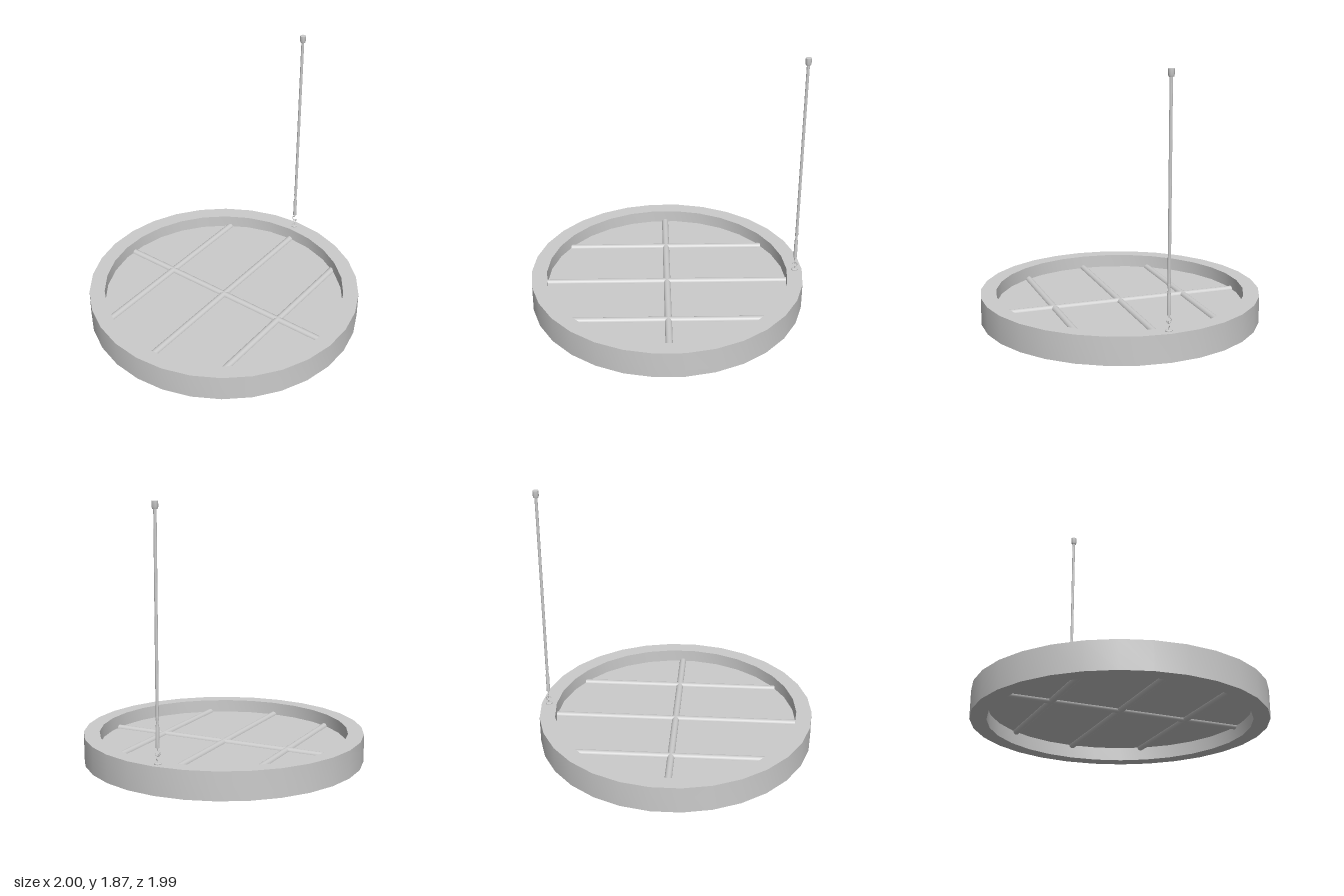
import * as THREE from 'three';
import { toCreasedNormals } from 'three/addons/utils/BufferGeometryUtils.js';

const grey = new THREE.MeshStandardMaterial({ color: 0xcccccc, side: THREE.DoubleSide });
const RING = { sides: 30, outer: 1, inner: 0.888, height: 0.195 };
const MID = RING.height / 2;

function add(parent, name, geometry, x = 0, y = 0, z = 0) {
  const mesh = new THREE.Mesh(geometry, grey);
  mesh.name = name;
  mesh.position.set(x, y, z);
  parent.add(mesh);
  return mesh;
}

// Revolved profile with crisp edges
function lathe(points, sides) {
  const profile = points.map(([r, y]) => new THREE.Vector2(r, y));
  const geometry = new THREE.LatheGeometry(profile, sides);
  geometry.rotateY(Math.PI / 2); // puts a corner on the x axis
  return toCreasedNormals(geometry, 0.6);
}

// Open hook: three quarters of a circle, then a bend into a straight shank
function hook(radius, shank) {
  const points = [];
  for (let i = 0; i <= 10; i++) {
    const a = Math.PI * (0.95 - 1.3 * i / 10);
    points.push(new THREE.Vector3(radius * Math.cos(a), radius * Math.sin(a), 0));
  }
  points.push(new THREE.Vector3(0.002, -radius * 0.95, 0), new THREE.Vector3(0, -shank, 0));
  return new THREE.TubeGeometry(new THREE.CatmullRomCurve3(points), 32, 0.003, 6);
}

export function createModel() {
  const model = new THREE.Group();
  model.name = 'roundWindow';

  // Frame ring
  const { sides, outer, inner, height } = RING;
  add(model, 'frameRing', lathe(
    [[inner, 0], [outer, 0], [outer, height], [inner, height], [inner, 0]], sides));

  // Pane set halfway down the frame
  const pane = new THREE.CylinderGeometry(inner, inner, 0.008, sides);
  pane.rotateY(Math.PI / 2);
  add(model, 'pane', pane, 0, MID, 0);

  // Glazing bars: one upright and three crossing it
  const bars = new THREE.Group();
  bars.name = 'glazingBars';
  model.add(bars);
  const barRadius = 0.026;
  const bar = (length) => new THREE.CylinderGeometry(barRadius, barRadius, length, 16);
  add(bars, 'longBar', bar(2 * inner - 0.01).rotateX(Math.PI / 2), 0, MID, 0);
  for (const z of [-0.49, 0, 0.49]) {
    const length = 2 * Math.sqrt(inner * inner - z * z);
    add(bars, 'crossBar', bar(length).rotateZ(Math.PI / 2), 0, MID, z);
  }

  // Pull rod hanging on a hook above the rim
  const pull = new THREE.Group();
  pull.name = 'pullRod';
  pull.position.x = 0.945;
  model.add(pull);

  add(pull, 'hookPlate', lathe(
    [[0, height], [0.023, height], [0.023, 0.201], [0.008, 0.206], [0, 0.206]], 16));
  add(pull, 'rimHook', hook(0.018, 0.042), 0, 0.24, 0);
  const rodHook = add(pull, 'rodHook', hook(0.018, 0.042), 0, 0.268, 0);
  rodHook.rotation.set(Math.PI, Math.PI / 2, 0, 'YXZ');

  add(pull, 'rodHandle', lathe([
    [0, 0.303], [0.013, 0.303], [0.013, 0.435], [0.007, 0.468], [0.012, 0.495], [0.0105, 0.51],
  ], 16));
  add(pull, 'rod', lathe([[0.0105, 0.5], [0.0105, 1.83]], 16));
  add(pull, 'rodCap', lathe(
    [[0, 1.815], [0.017, 1.815], [0.021, 1.828], [0.021, 1.865], [0, 1.865]], 16));

  return model;
}
